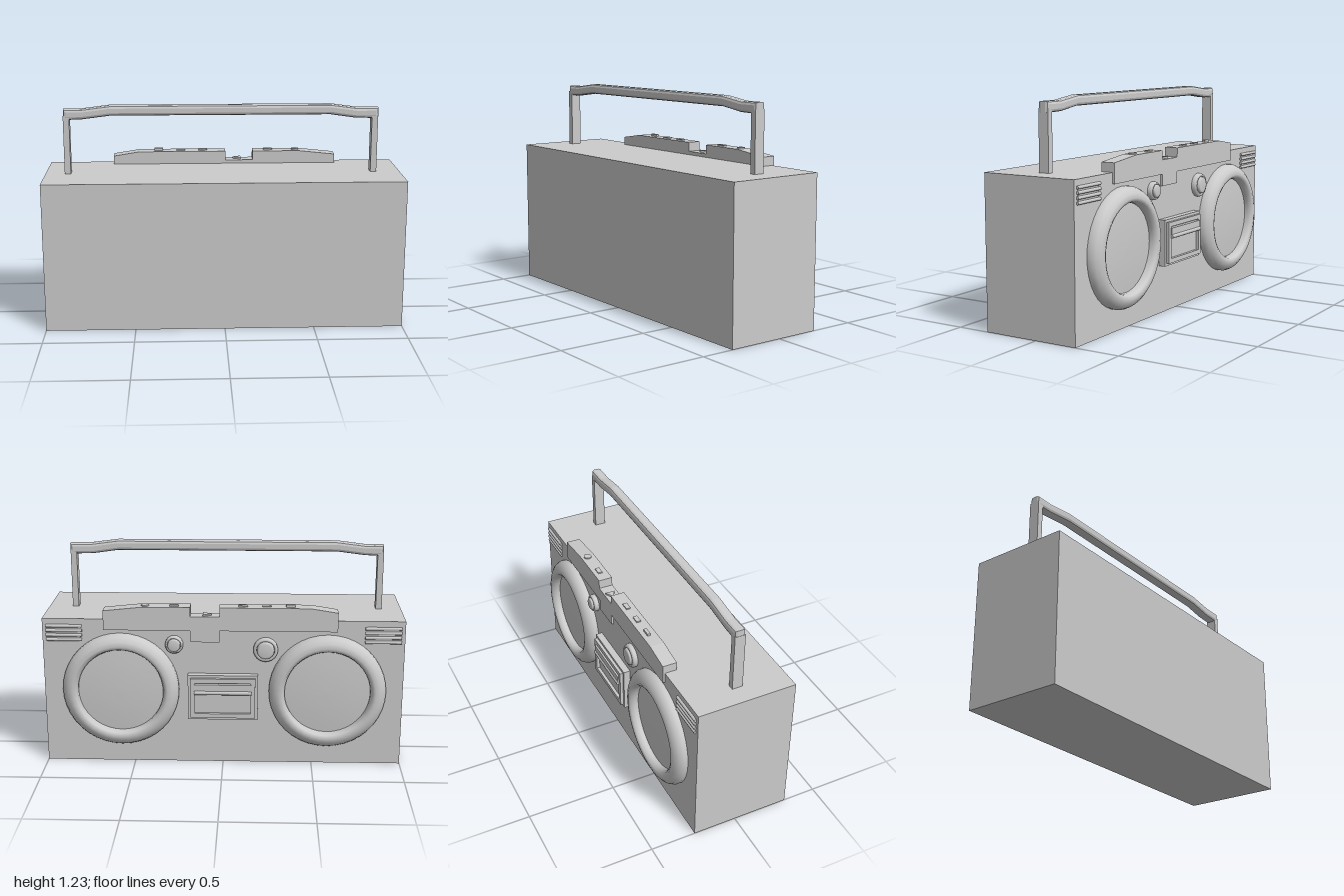
import * as THREE from 'three';

const mat = new THREE.MeshStandardMaterial({ color: 0xcccccc });
const BACK = -0.245; // plane carrying the speakers and controls

function add(parent, name, geo, x = 0, y = 0, z = 0) {
  const mesh = new THREE.Mesh(geo, mat);
  mesh.name = name;
  mesh.position.set(x, y, z);
  parent.add(mesh);
  return mesh;
}

const box = (w, h, d) => new THREE.BoxGeometry(w, h, d);

// Closed outline in x/y pushed along z, with an optional chamfer
function extrude(points, depth, bevel = 0) {
  const shape = new THREE.Shape(points.map(p => new THREE.Vector2(p[0], p[1])));
  return new THREE.ExtrudeGeometry(shape, {
    depth, bevelEnabled: bevel > 0, bevelSize: bevel, bevelThickness: bevel,
    bevelOffset: -bevel, bevelSegments: 2,
  });
}

// Round part turned from radius/height pairs, its axis pointing to -z
function turned(profile, sides) {
  const geo = new THREE.LatheGeometry(profile.map(p => new THREE.Vector2(p[0], p[1])), sides);
  return geo.rotateX(-Math.PI / 2);
}

function frame(w, h, iw, ih, depth) {
  const rect = (C, a, b) => new C([
    new THREE.Vector2(-a / 2, -b / 2), new THREE.Vector2(a / 2, -b / 2),
    new THREE.Vector2(a / 2, b / 2), new THREE.Vector2(-a / 2, b / 2)]);
  const shape = rect(THREE.Shape, w, h);
  shape.holes.push(rect(THREE.Path, iw, ih));
  return new THREE.ExtrudeGeometry(shape, { depth, bevelEnabled: false });
}

function speaker(name, x) {
  const g = new THREE.Group();
  g.name = name;
  g.position.set(x, 0.435, BACK);
  // Rounded surround
  add(g, 'speakerRing', turned([
    [0.325, 0], [0.325, 0.022], [0.313, 0.045], [0.29, 0.063],
    [0.265, 0.07], [0.247, 0.062], [0.238, 0.04], [0.238, 0.01]], 40));
  // Shallow domed cone
  add(g, 'speakerCone', turned([[0.24, 0.02], [0.16, 0.026], [0.08, 0.029], [0, 0.03]], 40));
  return g;
}

function knob(name, x, y, r) {
  const g = new THREE.Group();
  g.name = name;
  g.position.set(x, y, BACK);
  add(g, 'knobRim', turned([
    [r, 0], [r, 0.018], [r * 0.9, 0.028], [r * 0.75, 0.028], [r * 0.72, 0.016]], 24));
  add(g, 'knobCap', turned([
    [r * 0.72, 0.012], [r * 0.7, 0.034], [r * 0.55, 0.04], [0, 0.04]], 24));
  return g;
}

function grille(name, x) {
  const g = new THREE.Group();
  g.name = name;
  g.position.set(x, 0.76, BACK);
  add(g, 'grillePlate', box(0.18, 0.095, 0.008));
  for (let i = 0; i < 4; i++) {
    const bar = new THREE.CylinderGeometry(0.009, 0.009, 0.2, 8).rotateZ(Math.PI / 2);
    add(g, 'grilleBar', bar, 0, -0.039 + i * 0.026, -0.004);
  }
  return g;
}

export function createModel() {
  const model = new THREE.Group();
  model.name = 'portableStereo';

  // Case
  add(model, 'case', box(2, 0.84, 0.56), 0, 0.42, 0.035);

  model.add(speaker('leftSpeaker', 0.57), speaker('rightSpeaker', -0.58));
  model.add(grille('leftGrille', 0.88), grille('rightGrille', -0.88));
  model.add(knob('smallKnob', 0.27, 0.7, 0.05), knob('largeKnob', -0.235, 0.675, 0.068));

  // Control bar with a notch on top and a tab underneath
  add(model, 'controlBar', extrude([
    [-0.63, 0.78], [0.02, 0.78], [0.02, 0.715], [0.18, 0.715], [0.18, 0.78],
    [0.66, 0.78], [0.66, 0.89], [0.45, 0.912], [0.18, 0.912], [0.18, 0.86],
    [0.02, 0.86], [0.02, 0.912], [-0.48, 0.912], [-0.63, 0.888]], 0.08), 0, 0, -0.257);

  // Buttons along the bar
  for (const x of [-0.24, -0.11, 0.27]) {
    add(model, 'barButton', box(0.05, 0.012, 0.025), x, 0.913, -0.22);
  }
  add(model, 'flatButton', box(0.05, 0.016, 0.018), -0.37, 0.917, -0.222);
  add(model, 'roundButton', new THREE.CylinderGeometry(0.022, 0.022, 0.014, 16), 0.43, 0.912, -0.22);
  const arrow = new THREE.CylinderGeometry(0.032, 0.032, 0.014, 3).rotateY(-Math.PI / 2);
  add(model, 'arrowButton', arrow, 0.095, 0.863, -0.222);

  // Tape deck: raised frame, recessed window, ledge and grip
  const deck = new THREE.Group();
  deck.name = 'tapeDeck';
  deck.position.set(0, 0.4, BACK);
  add(deck, 'deckPlate', box(0.39, 0.26, 0.04), 0, 0, -0.018);
  add(deck, 'deckFrame', frame(0.36, 0.23, 0.31, 0.18, 0.018), 0, 0, -0.055);
  add(deck, 'deckLedge', box(0.32, 0.055, 0.03), 0, 0.055, -0.047);
  const grip = new THREE.CylinderGeometry(0.012, 0.012, 0.32, 10).rotateZ(Math.PI / 2);
  add(deck, 'deckGrip', grip, 0, 0.035, -0.058);
  model.add(deck);

  // Carrying handle: bent bar on two posts
  const handle = new THREE.Group();
  handle.name = 'handle';
  add(handle, 'handleBar', extrude([
    [-0.89, 1.145], [-0.79, 1.148], [-0.63, 1.168], [0.6, 1.168], [0.74, 1.148],
    [0.87, 1.145], [0.87, 1.205], [0.75, 1.205], [0.6, 1.225], [-0.63, 1.225],
    [-0.79, 1.205], [-0.89, 1.205]], 0.03, 0.016), 0, 0, 0.02);
  for (const x of [-0.874, 0.85]) {
    add(handle, 'handlePost', box(0.034, 0.36, 0.06), x, 0.99, 0.035);
  }
  model.add(handle);

  return model;
}
